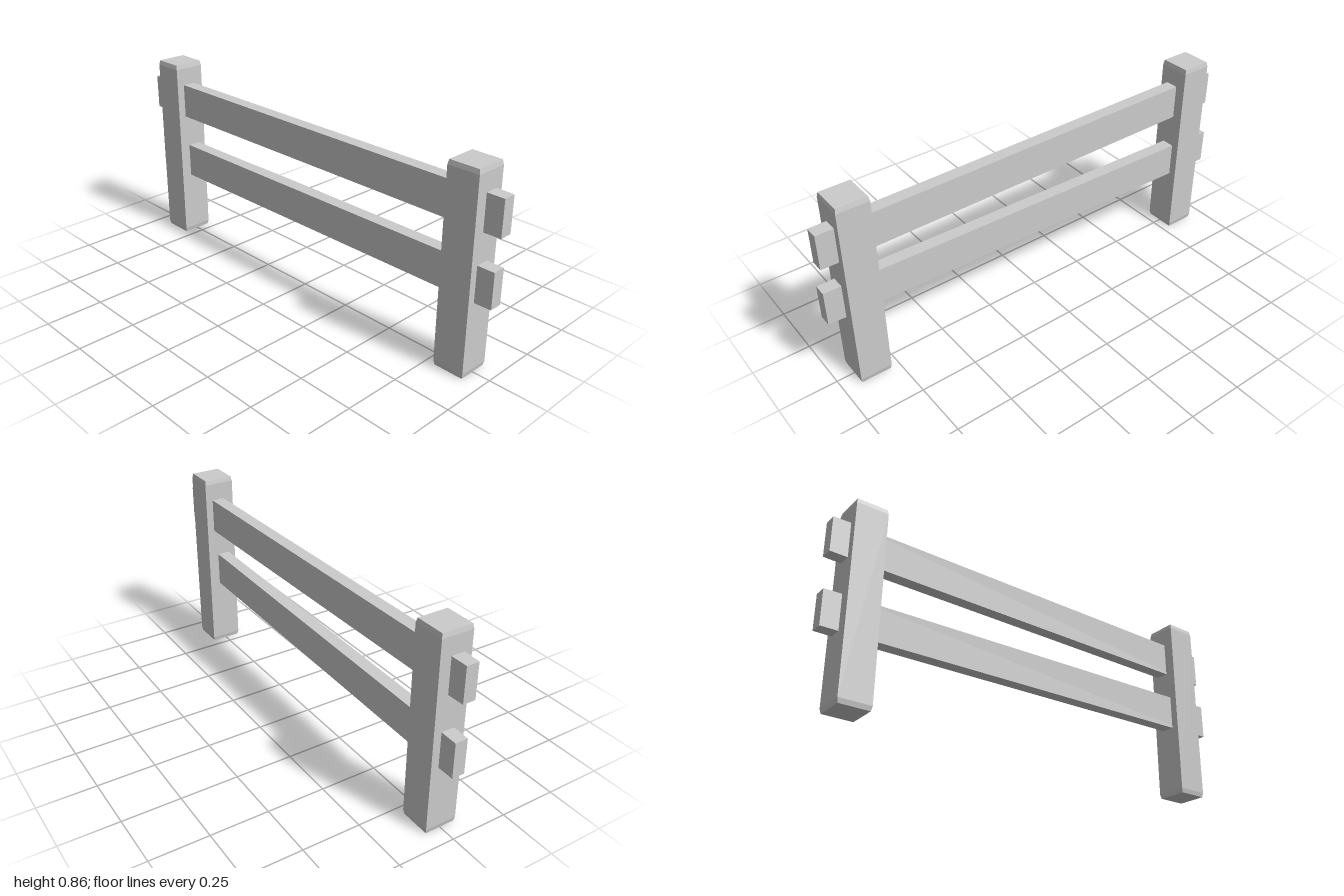
import * as THREE from 'three';

const material = new THREE.MeshStandardMaterial({ color: 0xcccccc, flatShading: true });

// Square-cut beam along y whose two ends are slightly narrowed.
function beamGeometry(width, length, depth, bevel, inset) {
  const geometry = new THREE.BoxGeometry(width, length, depth, 1, 3, 1);
  const p = geometry.attributes.position;
  const half = length / 2;
  for (let i = 0; i < p.count; i++) {
    const y = p.getY(i);
    if (Math.abs(y) > half - 0.001) {
      p.setX(i, p.getX(i) - Math.sign(p.getX(i)) * inset);
      p.setZ(i, p.getZ(i) - Math.sign(p.getZ(i)) * inset);
    } else {
      p.setY(i, Math.sign(y) * (half - bevel));
    }
  }
  geometry.computeVertexNormals();
  return geometry;
}

// Rail running from its right end to its left end, each given as [y, z] of the centre.
function makeRail(name, rightEnd, leftEnd) {
  const geometry = beamGeometry(0.155, 2, 0.057, 0.08, 0.001);
  geometry.rotateZ(-Math.PI / 2);
  const p = geometry.attributes.position;
  for (let i = 0; i < p.count; i++) {
    const t = (p.getX(i) + 1) / 2;
    p.setY(i, p.getY(i) + THREE.MathUtils.lerp(rightEnd[0], leftEnd[0], t));
    p.setZ(i, p.getZ(i) + THREE.MathUtils.lerp(rightEnd[1], leftEnd[1], t));
  }
  geometry.computeVertexNormals();
  const rail = new THREE.Mesh(geometry, material);
  rail.name = name;
  return rail;
}

export function createModel() {
  const fence = new THREE.Group();
  fence.name = 'fence';

  // Posts
  for (const [name, side] of [['rightPost', -1], ['leftPost', 1]]) {
    const post = new THREE.Mesh(beamGeometry(0.138, 0.856, 0.14, 0.02, 0.004), material);
    post.name = name;
    post.position.set(side * 0.856, 0.428, 0);
    fence.add(post);
  }

  // Rails, slightly skewed against each other and passing through the posts
  fence.add(makeRail('upperRail', [0.68, 0.008], [0.68, -0.01]));
  fence.add(makeRail('lowerRail', [0.373, -0.008], [0.4, 0.009]));

  return fence;
}
